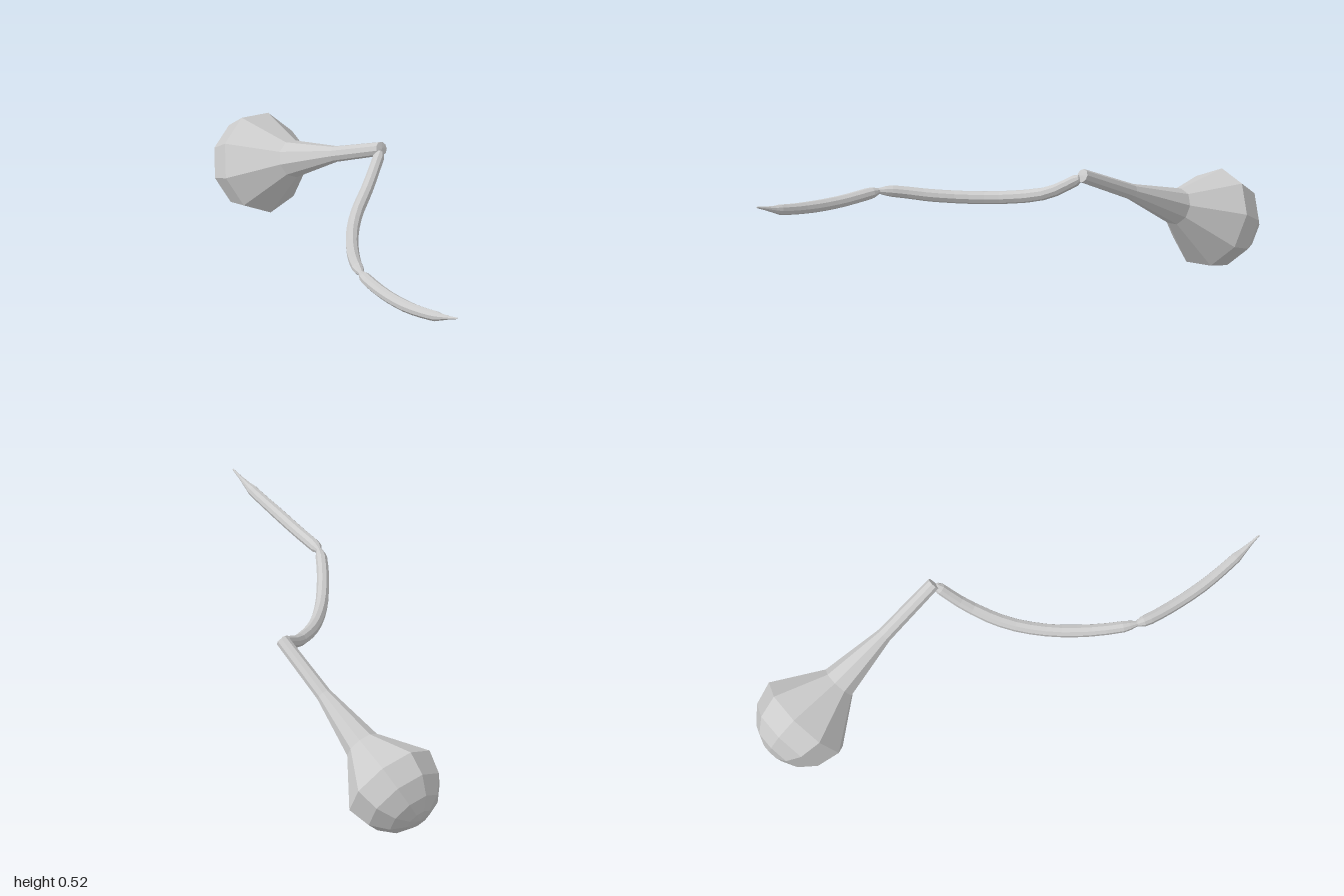
import * as THREE from 'three';

const SIDES = 9;
const V = (x, y, z) => new THREE.Vector3(x, y, z);
const material = new THREE.MeshStandardMaterial({ color: 0xcccccc, flatShading: true, side: THREE.DoubleSide });

// Skin of rings around a line of centres; the side vector is carried from ring to ring
function loft(name, centres, radii, side) {
  const pos = [], idx = [], u = side.clone();
  centres.forEach((c, i) => {
    const t = centres[Math.min(i + 1, centres.length - 1)].clone().sub(centres[Math.max(i - 1, 0)]).normalize();
    u.addScaledVector(t, -u.dot(t)).normalize();
    const w = t.clone().cross(u);
    for (let j = 0; j < SIDES; j++) {
      const a = (j / SIDES) * Math.PI * 2;
      const p = c.clone().addScaledVector(u, Math.cos(a) * radii[i]).addScaledVector(w, Math.sin(a) * radii[i]);
      pos.push(p.x, p.y, p.z);
    }
  });
  for (let i = 0; i < centres.length - 1; i++) {
    for (let j = 0; j < SIDES; j++) {
      const k = (j + 1) % SIDES;
      const a = i * SIDES + j, b = i * SIDES + k, c = b + SIDES, d = a + SIDES;
      if (radii[i] > 0) idx.push(a, b, d);
      if (radii[i + 1] > 0) idx.push(b, c, d);
    }
  }
  const geo = new THREE.BufferGeometry();
  geo.setAttribute('position', new THREE.Float32BufferAttribute(pos, 3));
  geo.setIndex(idx);
  geo.computeVertexNormals();
  const mesh = new THREE.Mesh(geo, material);
  mesh.name = name;
  return mesh;
}

// Curved limb: path points plus [fraction along the path, radius] stations
function limb(name, points, stations, steps) {
  const curve = new THREE.CatmullRomCurve3(points);
  const fractions = stations.map(s => s[0]);
  for (let i = 1; i < steps; i++) {
    const f = i / steps;
    if (fractions.every(g => Math.abs(g - f) > 0.025)) fractions.push(f);
  }
  fractions.sort((a, b) => a - b);
  const radiusAt = f => {
    const k = Math.max(1, stations.findIndex(s => s[0] >= f));
    const [f0, r0] = stations[k - 1], [f1, r1] = stations[k];
    return r0 + (r1 - r0) * (f - f0) / (f1 - f0);
  };
  return loft(name, fractions.map(f => curve.getPointAt(f)), fractions.map(radiusAt), V(0.2, 1, 0));
}

export function createModel() {
  const group = new THREE.Group();
  group.name = 'jointedLeg';

  // Upper segment: thin at the knee, flaring into a domed bulb
  const knee = V(0.2, 0.5, -0.225), bulb = V(-0.045, 0.185, -0.81);
  const axis = bulb.clone().sub(knee).normalize(), length = bulb.distanceTo(knee);
  const R = 0.19;
  const profile = [[-0.003, 0], [0, 0.026], [0.272, 0.03], [0.523, 0.07], [length, R]];
  for (const deg of [29, 54, 74, 90]) {
    const a = THREE.MathUtils.degToRad(deg);
    profile.push([length + R * Math.sin(a), deg === 90 ? 0 : R * Math.cos(a)]);
  }
  group.add(loft('upperSegment',
    profile.map(([t]) => knee.clone().addScaledVector(axis, t)),
    profile.map(([, r]) => r), V(0.917, -0.337, -0.212)));

  // Middle segment: sagging curve with narrowed joints
  group.add(limb('middleSegment', [
    V(0.195, 0.49, -0.22), V(0.105, 0.412, -0.12), V(0.01, 0.376, 0),
    V(-0.06, 0.366, 0.13), V(-0.112, 0.373, 0.27), V(-0.147, 0.392, 0.4), V(-0.155, 0.398, 0.465),
  ], [[0, 0], [0.004, 0.014], [0.03, 0.022], [0.3, 0.025], [0.75, 0.024], [0.93, 0.022], [0.96, 0.018], [0.996, 0.01], [1, 0]], 14));

  // Foot segment: slim curve ending in an upturned claw
  group.add(limb('footSegment', [
    V(-0.155, 0.397, 0.455), V(-0.148, 0.391, 0.51), V(-0.122, 0.384, 0.62),
    V(-0.083, 0.39, 0.75), V(-0.028, 0.414, 0.89), V(0.018, 0.451, 0.999),
  ], [[0, 0], [0.005, 0.011], [0.05, 0.021], [0.1, 0.023], [0.5, 0.023], [0.79, 0.02], [0.84, 0.014], [0.92, 0.007], [0.995, 0.003], [1, 0]], 12));

  return group;
}
